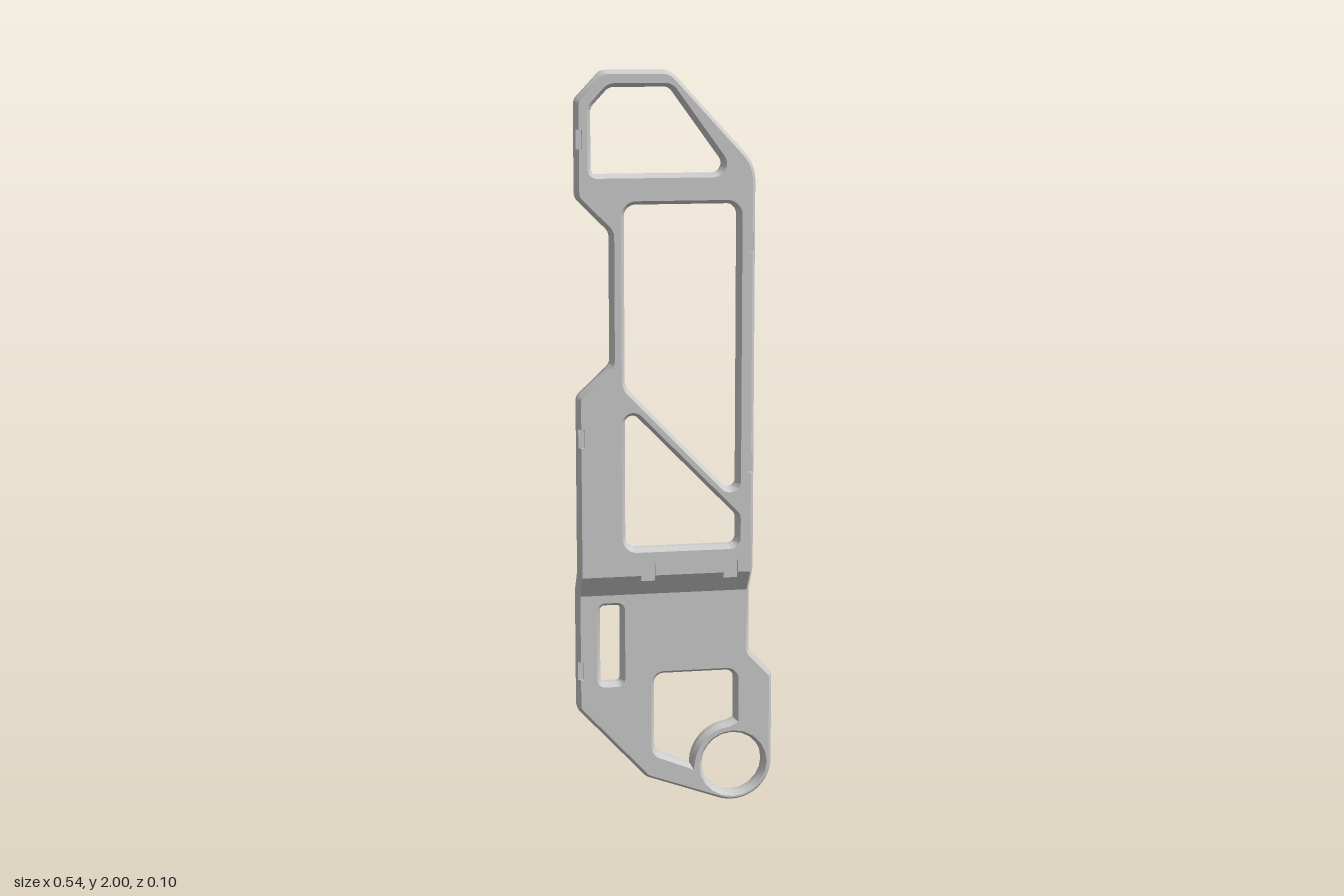
import * as THREE from 'three';
import { toCreasedNormals } from 'three/addons/utils/BufferGeometryUtils.js';

const THICK = 0.055, CHAMFER = 0.01, CHAMFER_Z = 0.018, FRONT = 0.052, STEP = 0.049, RECESS = 0.012;
const RING = { x: 0.16, y: 0.11 };

// Closed outline from corners [x, y, radius], each filleted with a true arc
function outline(corners, Type = THREE.Path) {
  const path = new Type();
  corners.forEach(([x, y, r = 0], i) => {
    const p = new THREE.Vector2(x, y), n = corners.length;
    const u = new THREE.Vector2(...corners[(i + n - 1) % n].slice(0, 2)).sub(p).normalize();
    const v = new THREE.Vector2(...corners[(i + 1) % n].slice(0, 2)).sub(p).normalize();
    if (!r) return i ? path.lineTo(x, y) : path.moveTo(x, y);
    const half = Math.acos(u.dot(v)) / 2, d = r / Math.tan(half);
    const c = u.clone().add(v).normalize().multiplyScalar(r / Math.sin(half)).add(p);
    const s = p.clone().addScaledVector(u, d), e = p.clone().addScaledVector(v, d);
    if (i) path.lineTo(s.x, s.y); else path.moveTo(s.x, s.y);
    path.absarc(c.x, c.y, r, Math.atan2(s.y - c.y, s.x - c.x), Math.atan2(e.y - c.y, e.x - c.x), u.cross(v) > 0);
  });
  path.closePath();
  return path;
}

// Split a convex face by f = 0 into [inside, outside]
function split(face, f) {
  const d = face.map(p => { const k = f(p); return Math.abs(k) < 1e-7 ? 0 : k; });
  const inside = [], outside = [];
  face.forEach((p, i) => {
    const j = (i + 1) % face.length;
    if (d[i] >= 0) inside.push(p);
    if (d[i] <= 0) outside.push(p);
    if (d[i] * d[j] < 0) {
      const m = p.clone().lerp(face[j], d[i] / (d[i] - d[j]));
      inside.push(m);
      outside.push(m);
    }
  });
  return [d.some(k => k > 0) ? inside : null, d.some(k => k < 0) ? outside : null];
}

// Sink a convex counter-clockwise area to a floor depth; side is +1 front, -1 back
function carve(faces, area, floor, side) {
  const lines = area.map(([x, y], i) => {
    const [x2, y2] = area[(i + 1) % area.length];
    return p => (x2 - x) * (p.y - y) - (y2 - y) * (p.x - x);
  });
  const above = p => side * (p.z - floor);
  return faces.flatMap(face => {
    const out = [];
    let rest = face;
    for (const f of [above, ...lines]) {
      const [a, b] = split(rest, f);
      if (!a) return [face];
      if (b) out.push(b);
      rest = a;
    }
    const sunk = rest.map(p => new THREE.Vector3(p.x, p.y, floor));
    out.push(sunk);
    // Side walls of the recess
    rest.forEach((p, i) => {
      const j = (i + 1) % rest.length;
      if (lines.some(f => Math.abs(f(p)) < 1e-6 && Math.abs(f(rest[j])) < 1e-6)) {
        out.push([p, rest[j], sunk[j], sunk[i]]);
      }
    });
    return out;
  });
}

function plateShape() {
  const shape = outline([
    [-0.27, 1.925, 0.03], [-0.2, 2, 0.03], [-0.02, 2, 0.05], [0.205, 1.757, 0.11],
    [0.205, 0.43, 0.02], [0.27, 0.36, 0.02], [0.27, -0.046, 0.11], [-0.08, 0.081, 0.03],
    [-0.27, 0.287, 0.03], [-0.27, 1.155, 0.03], [-0.18, 1.24, 0.03],
    [-0.18, 1.585, 0.03], [-0.27, 1.675, 0.03],
  ], THREE.Shape);
  const ringArc = [];
  for (let i = 0; i <= 8; i++) {
    const a = Math.PI * (1 - 0.47 * i / 8);
    ringArc.push([RING.x + 0.117 * Math.cos(a), RING.y + 0.117 * Math.sin(a)]);
  }
  const ring = new THREE.Path();
  ring.absarc(RING.x, RING.y, 0.085, 0, Math.PI * 2);
  shape.holes.push(
    // Grip opening
    outline([[-0.228, 1.735, 0.015], [0.14, 1.735, 0.025], [-0.022, 1.957, 0.03], [-0.18, 1.957, 0.03], [-0.228, 1.905, 0.03]]),
    // Long window above the strut
    outline([[-0.142, 1.656, 0.03], [-0.142, 1.18, 0.04], [0.158, 0.868, 0.02], [0.158, 1.656, 0.03]]),
    // Triangular window below the strut
    outline([[-0.142, 1.13, 0.02], [-0.142, 0.742, 0.03], [0.158, 0.742, 0.02], [0.158, 0.822, 0.02]]),
    // Narrow slot
    outline([[-0.205, 0.573, 0.012], [-0.205, 0.357, 0.012], [-0.149, 0.357, 0.012], [-0.149, 0.573, 0.012]]),
    // Window wrapped round the ring
    outline([[-0.057, 0.375, 0.025], [-0.057, 0.153, 0.025], ...ringArc, [0.165, 0.235], [0.165, 0.375, 0.025]]),
    ring,
  );
  return shape;
}

function plateGeometry() {
  const extruded = new THREE.ExtrudeGeometry(plateShape(), {
    depth: THICK - 2 * CHAMFER_Z, bevelThickness: CHAMFER_Z, bevelSize: CHAMFER,
    bevelOffset: -CHAMFER, bevelSegments: 1, curveSegments: 10,
  });
  extruded.translate(0, 0, FRONT - THICK + CHAMFER_Z);
  const pos = extruded.attributes.position;
  let faces = [];
  for (let i = 0; i < pos.count; i += 3) {
    faces.push([0, 1, 2].map(k => new THREE.Vector3().fromBufferAttribute(pos, i + k)));
  }

  // Joggle: the lower part steps back along two mitred bend lines
  const level = p => p.y - 0.27 * (FRONT - p.z), low = 0.605, high = 0.668;
  for (const c of [low, high]) faces = faces.flatMap(f => split(f, p => level(p) - c).filter(Boolean));
  faces = faces.map(f => f.map(p => {
    const t = THREE.MathUtils.clamp((high - level(p)) / (high - low), 0, 1);
    return new THREE.Vector3(p.x, p.y, p.z - STEP * t);
  }));

  // Edge notches on both faces
  const notches = [[-1, 1.8], [-1, 1.02], [-1, 0.37], [1, 1.53], [1, 0.94]];
  for (const [s, y] of notches) {
    const [x0, x1] = s < 0 ? [-0.3, -0.252] : [0.187, 0.25];
    const area = [[x0, y], [x1, y], [x1, y + 0.05], [x0, y + 0.05]];
    const front = y < 0.6 ? FRONT - STEP : FRONT;
    faces = carve(faces, area, front - RECESS, 1);
    faces = carve(faces, area, front - THICK + RECESS, -1);
  }

  // Round-ended grooves running into the bend, front and back
  for (const x of [-0.082, 0.142]) {
    for (const s of [1, -1]) {
      const y = s > 0 ? 0.692 : 0.6;
      const area = [[x - s * 0.019, y - s * 0.06], [x + s * 0.019, y - s * 0.06]];
      for (let i = 0; i <= 8; i++) {
        const a = Math.PI * i / 8;
        area.push([x + s * 0.019 * Math.cos(a), y + s * 0.019 * Math.sin(a)]);
      }
      faces = carve(faces, area, s * (FRONT - 0.014), s);
    }
  }

  // Fan the faces into triangles
  const points = [];
  for (const f of faces) {
    for (let i = 1; i < f.length - 1; i++) {
      const tri = new THREE.Triangle(f[0], f[i], f[i + 1]);
      if (tri.getArea() > 1e-10) points.push(f[0], f[i], f[i + 1]);
    }
  }
  return toCreasedNormals(new THREE.BufferGeometry().setFromPoints(points), 0.4);
}

export function createModel() {
  const group = new THREE.Group();
  group.name = 'steppedPlate';
  const plate = new THREE.Mesh(plateGeometry(), new THREE.MeshStandardMaterial({ color: 0xcccccc }));
  plate.name = 'plate';
  group.add(plate);
  return group;
}
